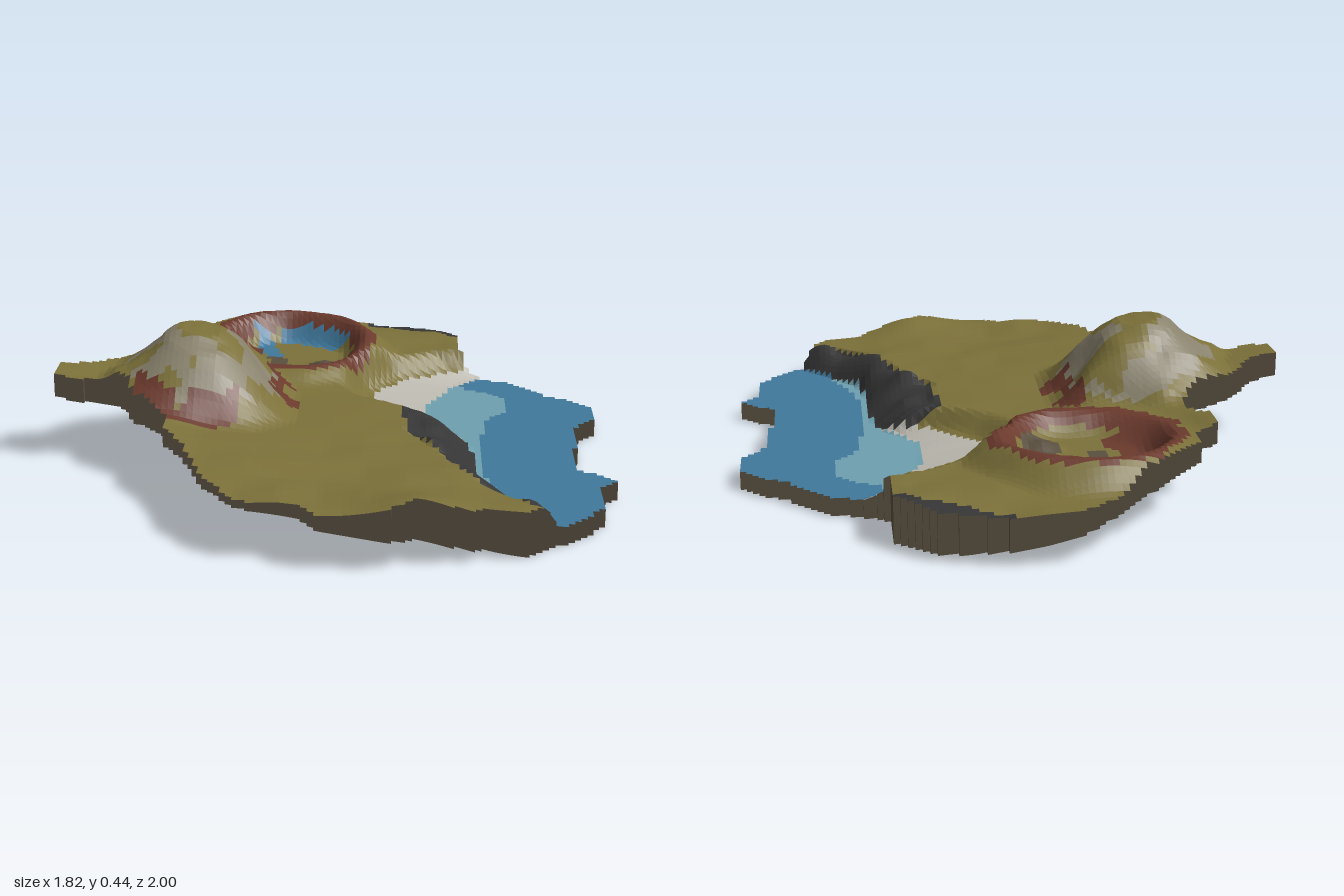
import * as THREE from 'three';

const STEP = 0.02;
const { smoothstep, clamp, lerp } = THREE.MathUtils;

// island outline, clockwise from the back (x, z)
const OUTLINE = [
  -.1, -1, .07, -1, .29, -.94, .35, -.9, .41, -.83, .43, -.8, .43, -.66, .46, -.62, .53, -.58, .625, -.545,
  .67, -.5, .74, -.41, .82, -.37, .89, -.3, .89, -.16, .83, -.1, .8, -.06, .8, .11, .785, .2, .795, .32,
  .86, .36, .91, .4, .86, .46, .845, .635, .795, .7, .74, .76, .67, .81, .61, .865, .58, .89, .48, .89,
  .425, .925, .29, .94, .2, 1, 0, 1, -.05, .94, -.21, .935, -.27, .89, -.35, .78, -.39, .67, -.435, .555,
  -.5, .45, -.515, .355, -.63, .265, -.66, .175, -.71, .14, -.79, .13, -.82, .16, -.88, .15, -.92, .12, -.92, .03,
  -.815, 0, -.77, -.06, -.71, -.13, -.57, -.2, -.525, -.29, -.55, -.36, -.595, -.41, -.595, -.51, -.515, -.565,
  -.5, -.66, -.42, -.74, -.34, -.81, -.26, -.88, -.18, -.95,
];

function inside(x, z) {
  let hit = false;
  const n = OUTLINE.length;
  for (let i = 0, j = n - 2; i < n; j = i, i += 2) {
    const [xi, zi, xj, zj] = [OUTLINE[i], OUTLINE[i + 1], OUTLINE[j], OUTLINE[j + 1]];
    if ((zi > z) !== (zj > z) && x < (xj - xi) * (z - zi) / (zj - zi) + xi) hit = !hit;
  }
  return hit;
}

// piecewise linear curve through [input, output] pairs
function curve(points, v) {
  if (v <= points[0][0]) return points[0][1];
  for (let i = 1; i < points.length; i++) {
    const [a, fa] = points[i - 1], [b, fb] = points[i];
    if (v <= b) return lerp(fa, fb, (v - a) / (b - a));
  }
  return points[points.length - 1][1];
}

// seeded value noise, 0..1
function noise(x, z, size, seed = 0) {
  const hash = (i, j) => {
    const s = Math.sin(i * 127.1 + j * 311.7 + seed * 74.7) * 43758.5453;
    return s - Math.floor(s);
  };
  const i = Math.floor(x / size), j = Math.floor(z / size);
  const u = x / size - i, v = z / size - j;
  return lerp(lerp(hash(i, j), hash(i + 1, j), u), lerp(hash(i, j + 1), hash(i + 1, j + 1), u), v);
}

// coast curves: x as a function of z
const SLOPE_TOP = [[-.66, .5], [-.6, .3], [-.5, .14], [-.35, .02], [-.2, 0], [-.1, .06], [0, .23], [.25, .25],
  [.4, .34], [.6, .42], [.75, .54], [.82, .63], [.87, .72], [.9, .8]];
const SLOPE_FOOT = [[-.66, .55], [-.6, .44], [-.48, .24], [-.33, .13], [-.2, .11], [-.12, .17], [-.03, .27], [.02, .37],
  [.1, .45], [.25, .47], [.4, .47], [.55, .5], [.65, .58], [.75, .67], [.82, .72], [.87, .8]];
const SAND_EDGE = [[-.62, .55], [-.58, .5], [-.5, .41], [-.4, .37], [-.3, .32], [-.1, .31], [0, .38], [.06, .44], [.1, .44]];
const SHALLOW_EDGE = [[-.56, .4], [-.47, .46], [-.4, .57], [-.35, .6], [-.25, .6], [-.15, .52], [0, .5], [.2, .5],
  [.4, .5], [.55, .54], [.66, .6], [.7, .58]];
const LAND = [[-.91, .3], [-.75, .28], [-.6, .25], [-.4, .205], [-.2, .185], [0, .17], [.4, .16], [.65, .135]];
const HILL = [[0, .225], [.08, .22], [.14, .18], [.2, .12], [.26, .06], [.32, .015], [.36, 0]];
const UNDERSIDE = [[-.91, .22], [-.65, .18], [-.4, .155], [-.2, .11], [0, .06], [.2, .027], [.5, .004], [.7, 0]];

const hillDistance = (x, z) => Math.hypot((x + .43) * 1.08, z - .04);
const craterDistance = (x, z) => Math.hypot(x + .18, z + .53) + (noise(x, z, .1, 3) - .5) * .03;
const bump = (x, z, cx, cz, r) => Math.exp(-((x - cx) ** 2 + (z - cz) ** 2) / (r * r));
const SEA = .06;

function landHeight(x, z) {
  let y = curve(LAND, x) + .045 * bump(x, z, .27, .95, .12) + (noise(x, z, .12, 1) - .5) * .016;
  y -= .02 * smoothstep(-z, .8, 1);
  // rugged hill
  const d = hillDistance(x, z);
  y += curve(HILL, d + (noise(x, z, .12, 2) - .5) * .07 * smoothstep(d, .08, .16));
  // crater bowl and raised rim
  const c = craterDistance(x, z);
  const rim = lerp(.25, .215, smoothstep(z, -.8, -.3));
  if (c < .28) y = lerp(.145, rim, smoothstep(c, .18, .28));
  else y = lerp(rim, y, smoothstep(c, .28, .4));
  return y + .03 * bump(x, z, -.05, -.43, .05);
}

function topHeight(x, z) {
  const land = landHeight(x, z);
  if (z < -.64) return land;
  const top = curve(SLOPE_TOP, z), foot = curve(SLOPE_FOOT, z);
  const beach = z < .06;
  const low = beach ? lerp(.09, SEA, clamp((x - foot) / (curve(SAND_EDGE, z) - foot + .001), 0, 1)) : SEA;
  const t = clamp((x - top) / (foot - top), 0, 1);
  const crag = z > 0 && t > 0 && t < 1 ? (noise(x, z, .07, 5) - .5) * .06 * (1 - t) : 0;
  return Math.max(SEA, lerp(land, low, z > 0 ? t * t : smoothstep(t, 0, 1)) + crag);
}

const bottomHeight = (x, z) => Math.min(topHeight(x, z) - .025,
  curve(UNDERSIDE, x) + .065 * smoothstep(z, 0, 1) * (1 - smoothstep(x, .2, .65)) * smoothstep(x, -.6, 0));

// which surface covers a spot
function surfaceAt(x, z) {
  if (z > -.64) {
    const foot = curve(SLOPE_FOOT, z);
    if (x > foot) {
      if (z < .07 && x < curve(SAND_EDGE, z)) return 'sand';
      return z < .7 && z > -.56 && x < curve(SHALLOW_EDGE, z) ? 'shallowWater' : 'deepWater';
    }
    if (z > -.01 && x > curve(SLOPE_TOP, z)) return 'seaCliff';
  }
  // cliff at the back corner
  if (z < -.8 && x > .08 && z < -.97 + (x - .1) * .5 + (noise(x, z, .07, 6) - .5) * .06) return 'seaCliff';
  // crater
  const c = craterDistance(x, z), dx = x + .18, dz = z + .53;
  if (c < .33) {
    if (Math.hypot(x + .05, z + .43) < .07) return 'earth';
    if (Math.abs(x + .22 - (z + .5) * .3) < .03 && z > -.56 && z < -.45) return 'earth';
    if (Math.abs(x + .27 - (z + .66) * .35) < .03 && z > -.74 && z < -.56) return 'deepWater';
    if (c > .18 && c < .235 && dz < -.1 && dx > -.06) return 'deepWater';
    const inner = dx < -.08 && dz > -.12 && dz < .18 ? .13 : .225;
    if (c > inner && c < .285 + .04 * noise(x, z, .06, 7)) return 'redRock';
  }
  // hill
  const d = hillDistance(x, z), n = noise(x, z, .11, 8);
  const redSide = (z > .14 && x < -.3) || (x > -.22 && z < .12 && z > -.2);
  if (redSide && d > .25 && d < .34 && noise(x, z, .06, 9) > .36) return 'redRock';
  if (d > .09 && d < .28 && n > .36 && !bump(x, z, -.52, .27, .05).toFixed(0).startsWith('1')) return 'paleRock';
  return 'grass';
}

const COLORS = {
  grass: 0x7c713a, sand: 0xbcb9b0, shallowWater: 0x6ea0b0, deepWater: 0x40799d,
  seaCliff: 0x363637, redRock: 0x6b3a2d, paleRock: 0x89826d, earth: 0x5a5041,
};

export function createModel() {
  const group = new THREE.Group();
  group.name = 'island';
  const materials = {}, parts = {};
  for (const [name, color] of Object.entries(COLORS)) {
    materials[name] = new THREE.MeshStandardMaterial({ color, flatShading: true });
    materials[name].name = name;
  }
  const quad = (part, a, b, c, d) => (parts[part] ??= []).push(...a, ...b, ...c, ...a, ...c, ...d);
  const has = (i, j) => inside(-.91 + (i + .5) * STEP, -1 + (j + .5) * STEP);

  for (let i = 0; i < 91; i++) for (let j = 0; j < 100; j++) {
    if (!has(i, j)) continue;
    const x = -.91 + i * STEP, z = -1 + j * STEP;
    const corners = [[x, z], [x, z + STEP], [x + STEP, z + STEP], [x + STEP, z]];
    const top = corners.map(([u, v]) => [u, topHeight(u, v), v]);
    const low = corners.map(([u, v]) => [u, Math.max(0, bottomHeight(u, v)), v]);
    quad(surfaceAt(x + STEP / 2, z + STEP / 2), ...top);
    quad('underside', low[0], low[3], low[2], low[1]);
    // stepped walls along the outline
    [[-1, 0], [0, 1], [1, 0], [0, -1]].forEach(([di, dj], k) => {
      const m = (k + 1) % 4;
      if (!has(i + di, j + dj)) quad('outerWall', top[k], low[k], low[m], top[m]);
    });
  }

  for (const [name, positions] of Object.entries(parts)) {
    const geometry = new THREE.BufferGeometry();
    geometry.setAttribute('position', new THREE.Float32BufferAttribute(positions, 3));
    geometry.computeVertexNormals();
    const mesh = new THREE.Mesh(geometry, materials[name] ?? materials.earth);
    mesh.name = name;
    group.add(mesh);
  }
  return group;
}
